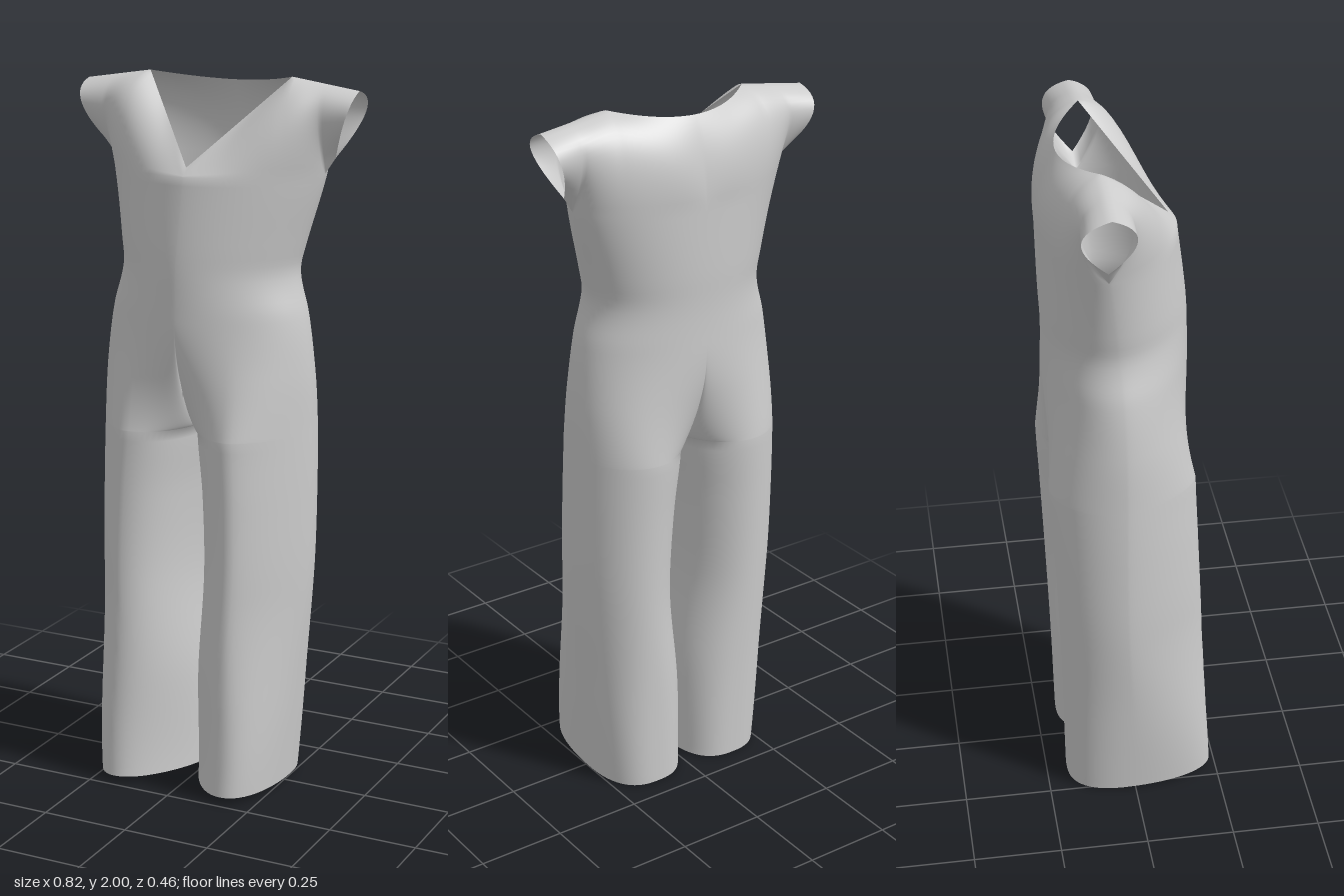
import * as THREE from 'three';

const CROTCH = 1.03, CHEST = 1.74, SEG = 64;
const { lerp, clamp, smoothstep } = THREE.MathUtils;
const material = new THREE.MeshStandardMaterial({ color: 0xcccccc, side: THREE.DoubleSide });

// Smooth curve through [position, ...values] keys
function keyed(keys) {
  const curve = new THREE.CubicInterpolant(
    new Float32Array(keys.map(k => k[0])),
    new Float32Array(keys.flatMap(k => k.slice(1))), keys[0].length - 1);
  return t => Array.from(curve.evaluate(t));
}

// Height: inner x, outer x, back z, front z, side seam z
const outline = keyed([
  [0.00, 0.003, 0.265, -0.190, 0.235, 0.000],
  [0.30, 0.004, 0.290, -0.197, 0.217, -0.015],
  [0.60, 0.030, 0.312, -0.207, 0.200, -0.030],
  [0.85, 0.020, 0.316, -0.218, 0.187, -0.035],
  [1.03, 0.000, 0.314, -0.227, 0.179, -0.035],
  [1.20, 0.000, 0.308, -0.228, 0.176, -0.037],
  [1.36, 0.000, 0.287, -0.222, 0.174, -0.042],
  [1.44, 0.000, 0.264, -0.221, 0.173, -0.046],
  [1.48, 0.000, 0.259, -0.222, 0.172, -0.050],
  [1.54, 0.000, 0.270, -0.225, 0.168, -0.056],
  [1.74, 0.000, 0.316, -0.229, 0.144, -0.080],
]);

// Height of a superellipse over v in -1..1
const dome = (v, e) => Math.max(0, 1 - Math.abs(v) ** e) ** (1 / e);

// Half section from front centre round the side to back centre;
// a closed leg loop opens into half a torso above the crotch
function bodyPoint(y, s) {
  const [xin, xout, zb, zf, zm] = outline(y);
  const front = s <= 0.5;
  const u = (1 - Math.cos(2 * Math.PI * s)) / 2;
  const thigh = smoothstep(y, 0, 0.6);
  const v = 2 * u ** (front ? lerp(1.5, 1, thigh) : 1) - 1;
  const roundness = front ? lerp(2.1, v > 0 ? 1.45 : 2.1, thigh) : lerp(2.6, 2, thigh);
  const torso = dome(u, front ? 1.7 : 2.1);
  const rise = Math.sin(clamp((y - CROTCH) / 0.32, 0, 1) * Math.PI / 2);
  const depth = lerp(dome(v, roundness), torso, rise ** (0.5 + u));
  const z = lerp(zm, front ? zf : zb, depth);
  const hem = 0.02 * Math.max(0, 1 - y / 0.2) * (z - zb) / (zf - zb);
  return new THREE.Vector3(lerp(xin, xout, u), y + hem, z);
}

// Neckline then shoulder ridge, from the centre to the sleeve end
const shoulder = t => [0.215 + (t - 0.5) * 0.39, 1.995 - (t - 0.5) * 0.058, -0.085];
const frontTop = t => t < 0.5 ? [0.43 * t, 1.763 + 0.464 * t, 0.122 - 0.414 * t] : shoulder(t);
const backTop = t => t < 0.5
  ? [0.43 * t, 1.97 + 0.1 * t * t, -0.175 + 0.36 * t * t] : shoulder(t);

// Controls that give the chest, shoulder blades and sleeves their fullness
const frontBulge = keyed([
  [0, 0, 1.752, 0.135], [0.25, 0.095, 1.82, 0.08], [0.5, 0.245, 1.95, 0.06],
  [0.76, 0.335, 1.94, 0.05], [1, 0.42, 1.93, 0.045],
]);
const backBulge = keyed([
  [0, 0, 1.88, -0.23], [0.25, 0.10, 1.90, -0.24], [0.5, 0.24, 1.96, -0.215],
  [0.76, 0.335, 1.94, -0.225], [1, 0.42, 1.93, -0.235],
]);

// Upper panel: columns rise from the chest or underarm to the neckline or shoulder
const COLS = 42, RING = SEG / 2;
function yokePoint(back, c, v) {
  const t = c / COLS;
  const s = Math.min(c, RING) / SEG;
  const bottom = bodyPoint(CHEST, back ? 1 - s : s);
  if (c > RING) bottom.lerp(new THREE.Vector3(0.345, 1.785, -0.085), (c - RING) / (COLS - RING));
  const top = new THREE.Vector3(...(back ? backTop : frontTop)(t));
  const mid = new THREE.Vector3(...(back ? backBulge : frontBulge)(t));
  return new THREE.QuadraticBezierCurve3(bottom, mid, top).getPoint(v);
}

// Grid surface; side -1 mirrors it
function sheet(rows, cols, point, side, flip) {
  const pos = [], index = [];
  for (let r = 0; r <= rows; r++) {
    for (let c = 0; c <= cols; c++) {
      const p = point(r / rows, c);
      const drift = -0.01 * (1 - smoothstep(p.y, 1.45, 1.73));
      pos.push(side * p.x + drift, p.y, p.z);
      if (r === rows || c === cols) continue;
      const a = r * (cols + 1) + c, b = a + 1, d = a + cols + 1, e = d + 1;
      if ((side < 0) !== flip) index.push(a, d, b, b, d, e);
      else index.push(a, b, d, b, e, d);
    }
  }
  const geometry = new THREE.BufferGeometry();
  geometry.setAttribute('position', new THREE.Float32BufferAttribute(pos, 3));
  geometry.setIndex(index);
  geometry.computeVertexNormals();
  return geometry;
}

// Average normals wherever panels meet so the seams look continuous
function blendSeams(geometries) {
  const sums = new Map(), p = new THREE.Vector3(), n = new THREE.Vector3();
  const visit = fn => geometries.forEach(g => {
    const { position, normal } = g.attributes;
    for (let i = 0; i < position.count; i++) {
      p.fromBufferAttribute(position, i);
      n.fromBufferAttribute(normal, i);
      fn(p.toArray().map(v => Math.round(v * 1e4)).join(), normal, i);
    }
  });
  visit(key => sums.set(key, (sums.get(key) ?? new THREE.Vector3()).add(n)));
  visit((key, normal, i) => {
    n.copy(sums.get(key)).normalize();
    normal.setXYZ(i, n.x, n.y, n.z);
  });
}

export function createModel() {
  const group = new THREE.Group();
  const meshes = [];
  for (const [label, side] of [['left', 1], ['right', -1]]) {
    const add = (name, geometry) => {
      const mesh = new THREE.Mesh(geometry, material);
      mesh.name = label + name;
      meshes.push(mesh);
    };
    add('TrouserLeg', sheet(36, SEG, (v, c) => bodyPoint(CROTCH * v, c / SEG), side, false));
    add('Torso', sheet(48, SEG,
      (v, c) => bodyPoint(CROTCH + (CHEST - CROTCH) * v ** 1.6, c / SEG), side, false));
    add('FrontYokeAndSleeve', sheet(16, COLS, (v, c) => yokePoint(false, c, v), side, false));
    add('BackYokeAndSleeve', sheet(16, COLS, (v, c) => yokePoint(true, c, v), side, true));
  }
  blendSeams(meshes.map(m => m.geometry));
  group.add(...meshes);
  return group;
}
